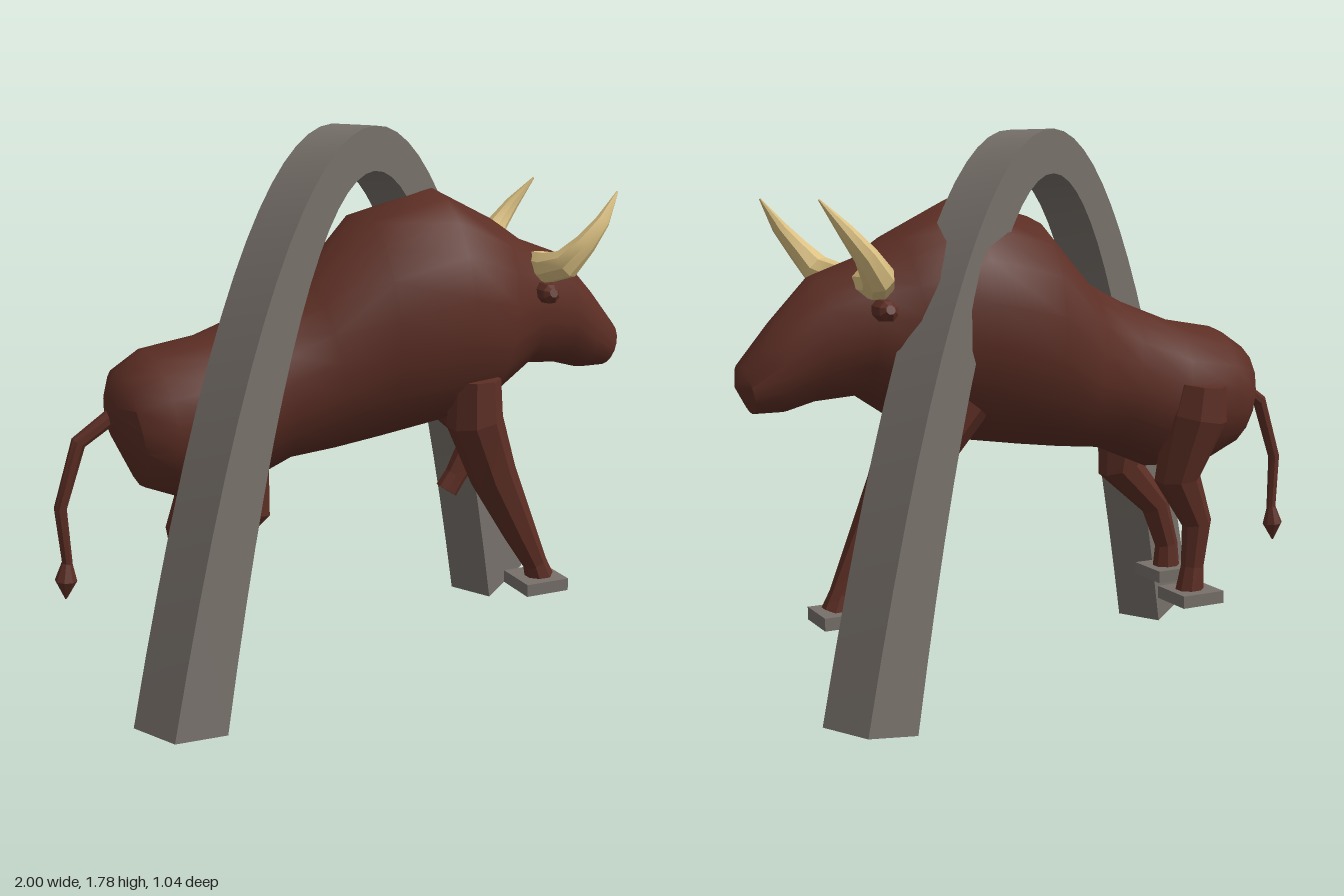
import * as THREE from 'three';
import { toCreasedNormals } from 'three/addons/utils/BufferGeometryUtils.js';

const V = (x, y, z) => new THREE.Vector3(x, y, z);

// Skin a list of rings (equal point counts) and close both ends.
function loft(rings, crease, startTip, endTip) {
  const n = rings[0].length, pos = [], idx = [];
  rings.forEach(r => r.forEach(p => pos.push(p.x, p.y, p.z)));
  for (let i = 0; i < rings.length - 1; i++) {
    for (let j = 0; j < n; j++) {
      const k = (j + 1) % n;
      const a = i * n + j, b = i * n + k, c = b + n, d = a + n;
      idx.push(a, b, c, a, c, d);
    }
  }
  const cap = (ring, base, tip, flip) => {
    const c = tip || ring.reduce((s, p) => s.add(p), V(0, 0, 0)).divideScalar(n);
    const ci = pos.length / 3;
    pos.push(c.x, c.y, c.z);
    for (let j = 0; j < n; j++) {
      const k = (j + 1) % n;
      idx.push(ci, base + (flip ? k : j), base + (flip ? j : k));
    }
  };
  cap(rings[0], 0, startTip, true);
  cap(rings[rings.length - 1], (rings.length - 1) * n, endTip, false);
  const g = new THREE.BufferGeometry();
  g.setAttribute('position', new THREE.Float32BufferAttribute(pos, 3));
  g.setIndex(idx);
  return toCreasedNormals(g, crease);
}

// Tapered limb along [x, y, z, radius] stations; squash scales it along ref.
function limb(stations, sides, ref, crease, squash = 1) {
  const pts = stations.map(s => V(s[0], s[1], s[2]));
  const rings = pts.map((p, i) => {
    const t = V(0, 0, 0);
    if (i > 0) t.add(p.clone().sub(pts[i - 1]).normalize());
    if (i < pts.length - 1) t.add(pts[i + 1].clone().sub(p).normalize());
    t.normalize();
    const u = ref.clone().addScaledVector(t, -ref.dot(t)).normalize();
    const v = t.clone().cross(u);
    const r = stations[i][3];
    return Array.from({ length: sides }, (_, j) => {
      const a = (j + 0.5) / sides * Math.PI * 2;
      return p.clone().addScaledVector(u, Math.cos(a) * r * squash).addScaledVector(v, Math.sin(a) * r);
    });
  });
  return loft(rings, crease);
}

export function createModel() {
  const model = new THREE.Group();
  model.name = 'bullUnderArch';
  const mat = (name, color) => {
    const m = new THREE.MeshStandardMaterial({ color });
    m.name = name;
    return m;
  };
  const hide = mat('brownHide', 0x5c2e24);
  const stone = mat('greyStone', 0x77706a);
  const ivory = mat('ivoryHorn', 0xdcc182);
  const add = (name, geo, material) => {
    const m = new THREE.Mesh(geo, material);
    m.name = name;
    model.add(m);
    return m;
  };

  // Diagonal parabolic arch, thicker at its feet
  const arch = new THREE.Shape();
  const N = 32;
  for (let i = 0; i <= N; i++) {
    const t = -1 + 2 * i / N;
    arch[i ? 'lineTo' : 'moveTo'](0.95 * t, 1.78 - 1.72 * t * t);
  }
  for (let i = N; i >= 0; i--) {
    const t = -1 + 2 * i / N;
    arch.lineTo(0.724 * t, 1.64 - 1.64 * t * t);
  }
  const archGeo = new THREE.ExtrudeGeometry(arch, { depth: 0.17, bevelEnabled: false });
  archGeo.translate(0, 0, -0.085);
  add('arch', toCreasedNormals(archGeo, 0.4), stone).rotation.y = Math.atan2(0.445, 0.84);

  // Body and head: slanted oval rings, [topX, topY, bottomX, bottomY, halfWidth]
  const bodyRings = [
    [-0.822, 1.0, -0.81, 0.85, 0.07],
    [-0.795, 1.06, -0.73, 0.69, 0.19],
    [-0.70, 1.12, -0.62, 0.645, 0.232],
    [-0.52, 1.15, -0.44, 0.65, 0.232],
    [-0.33, 1.22, -0.25, 0.73, 0.222],
    [-0.17, 1.30, -0.10, 0.745, 0.25],
    [0.02, 1.505, 0.05, 0.765, 0.295],
    [0.28, 1.57, 0.28, 0.80, 0.31],
    [0.50, 1.46, 0.44, 0.84, 0.25],
    [0.60, 1.39, 0.62, 0.96, 0.19],
    [0.75, 1.335, 0.76, 0.95, 0.16],
    [0.88, 1.20, 0.85, 0.925, 0.118],
    [0.985, 1.075, 0.945, 0.925, 0.078],
  ].map(([tx, ty, bx, by, w]) => Array.from({ length: 18 }, (_, j) => {
    const a = j / 18 * Math.PI * 2, c = Math.cos(a);
    return V((tx + bx) / 2 + (tx - bx) / 2 * c, (ty + by) / 2 + (ty - by) / 2 * c, w * Math.sin(a));
  }));
  add('bodyAndHead', loft(bodyRings, 0.8, V(-0.825, 0.93, 0), V(0.998, 1.01, 0)), hide);

  // Horns and ears, mirrored
  for (const s of [1, -1]) {
    const side = s > 0 ? 'right' : 'left';
    add(side + 'Horn', limb([
      [0.62, 1.315, s * 0.10, 0.045],
      [0.615, 1.315, s * 0.19, 0.052],
      [0.64, 1.335, s * 0.255, 0.05],
      [0.69, 1.40, s * 0.285, 0.036],
      [0.75, 1.47, s * 0.288, 0.024],
      [0.82, 1.56, s * 0.262, 0.003],
    ], 8, V(1, -1, 0), 0.6), ivory);
    add(side + 'Ear', limb([
      [0.60, 1.24, s * 0.12, 0.022],
      [0.60, 1.235, s * 0.19, 0.035],
      [0.60, 1.235, s * 0.235, 0.032],
      [0.60, 1.24, s * 0.25, 0.015],
    ], 8, V(1, 0, 0), 0.3), hide);
  }

  // Legs: three planted, one front leg raised and bent
  const legs = {
    frontPlantedLeg: [[0.345, 0.97, 0.20, 0.085], [0.345, 0.83, 0.20, 0.095], [0.43, 0.63, 0.18, 0.08],
      [0.54, 0.42, 0.17, 0.058], [0.61, 0.29, 0.165, 0.042], [0.63, 0.235, 0.165, 0.05]],
    frontRaisedLeg: [[0.33, 0.95, -0.17, 0.09], [0.42, 0.83, -0.16, 0.085], [0.54, 0.69, -0.165, 0.065],
      [0.54, 0.63, -0.165, 0.055], [0.47, 0.53, -0.16, 0.04], [0.435, 0.48, -0.16, 0.042]],
    rearNearLeg: [[-0.48, 0.92, 0.15, 0.10], [-0.47, 0.80, 0.16, 0.105], [-0.44, 0.62, 0.16, 0.08],
      [-0.59, 0.47, 0.16, 0.052], [-0.64, 0.32, 0.16, 0.042], [-0.64, 0.235, 0.16, 0.05]],
    rearFarLeg: [[-0.53, 0.95, -0.20, 0.09], [-0.52, 0.84, -0.19, 0.11], [-0.47, 0.63, -0.16, 0.08],
      [-0.55, 0.47, -0.16, 0.052], [-0.535, 0.32, -0.16, 0.04], [-0.525, 0.235, -0.16, 0.05]],
  };
  for (const [name, path] of Object.entries(legs)) {
    add(name, limb(path, 8, V(0, 0, 1), 0.1, 0.9), hide);
  }

  // Foot plates under the planted legs
  for (const [x, z] of [[0.62, 0.16], [-0.64, 0.16], [-0.53, -0.16]]) {
    add('footPlate', new THREE.BoxGeometry(0.16, 0.042, 0.16).translate(x, 0.221, z), stone);
  }

  // Tail and tuft
  add('tail', limb([
    [-0.79, 0.93, -0.01, 0.026], [-0.915, 0.845, -0.012, 0.024],
    [-0.978, 0.64, -0.02, 0.02], [-0.96, 0.44, -0.033, 0.016],
  ], 8, V(0, 0, 1), 0.5), hide);
  add('tailTuft', limb([
    [-0.962, 0.46, -0.033, 0.016], [-0.968, 0.40, -0.033, 0.035], [-0.971, 0.34, -0.033, 0.003],
  ], 8, V(0, 0, 1), 0.1), hide);

  return model;
}
